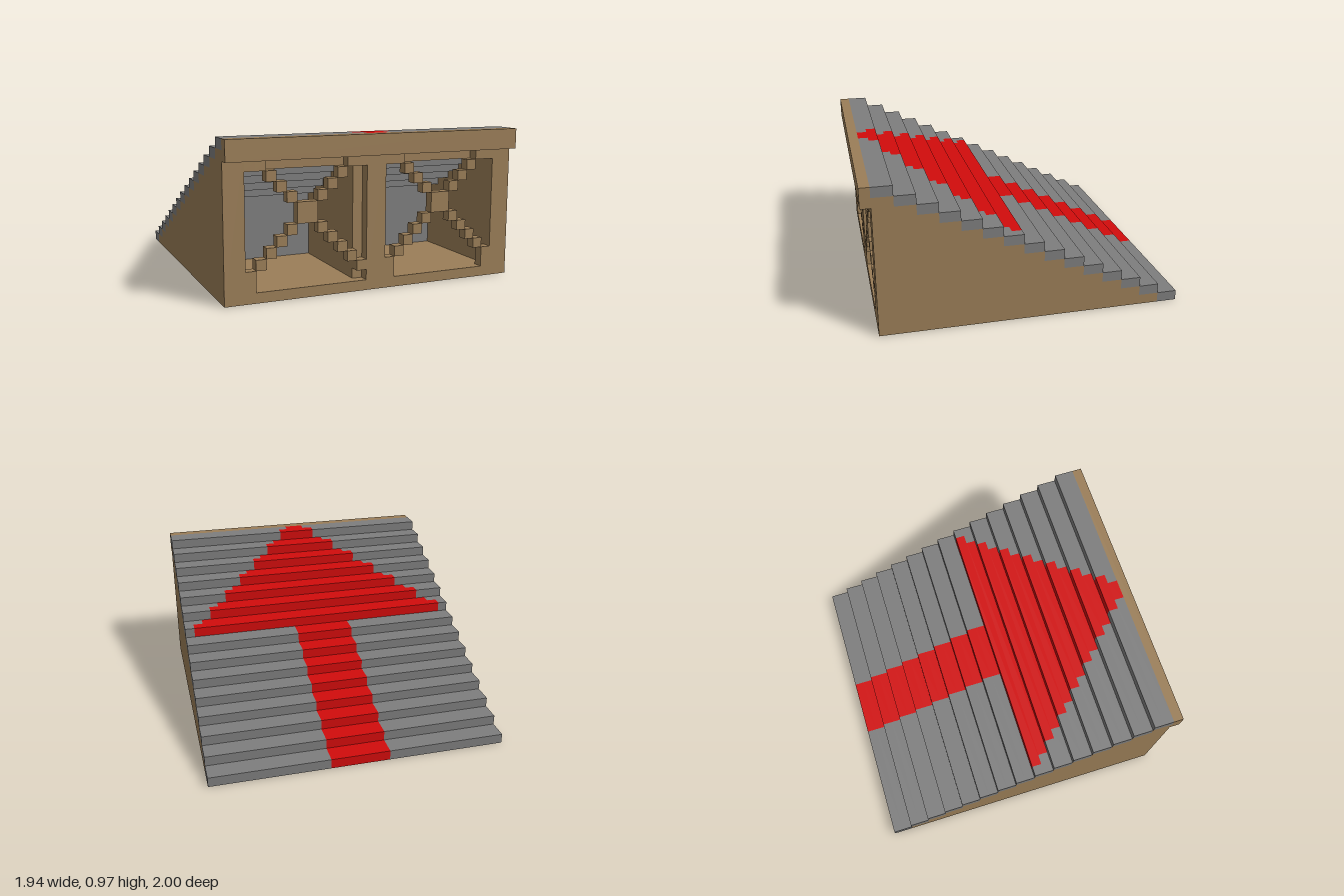
import * as THREE from 'three';
import { mergeGeometries } from 'three/addons/utils/BufferGeometryUtils.js';

const U = 2 / 31; // one block
const STEPS = 15;
const BACK = -15.5;

// box between two block-grid corners
function block(x0, x1, y0, y1, z0, z1) {
  const g = new THREE.BoxGeometry((x1 - x0) * U, (y1 - y0) * U, (z1 - z0) * U);
  g.translate((x0 + x1) * U / 2, (y0 + y1) * U / 2, (z0 + z1) * U / 2);
  return g;
}

// stair-shaped side profile up to step `last`, cut at z = front, extruded from x0 to x1
function stairWall(x0, x1, last, front) {
  const s = new THREE.Shape();
  s.moveTo(BACK + 2, 0);
  for (let i = 1; i <= last; i++) {
    const z0 = BACK + 2 * i;
    s.lineTo(z0 * U, i * U);
    s.lineTo((i === last ? front : z0 + 2) * U, i * U);
  }
  s.lineTo(front * U, 0);
  s.lineTo((BACK + 2) * U, 0);
  s.curves.shift(); // begin at the first tread
  const g = new THREE.ExtrudeGeometry(s, { depth: (x1 - x0) * U, bevelEnabled: false });
  g.rotateY(-Math.PI / 2);
  g.translate(x1 * U, 0, 0);
  return g;
}

export function createModel() {
  const wood = new THREE.MeshStandardMaterial({ color: 0x9b7e58 });
  wood.name = 'wood';
  const stone = new THREE.MeshStandardMaterial({ color: 0x7e7e7e });
  stone.name = 'stone';
  const red = new THREE.MeshStandardMaterial({ color: 0xd20c0c });
  red.name = 'red';

  const model = new THREE.Group();
  model.name = 'steppedRamp';
  const add = (name, parts, material) => {
    const mesh = new THREE.Mesh(mergeGeometries(parts), material);
    mesh.name = name;
    model.add(mesh);
  };

  // side walls, divider and the solid low end
  add('sideWalls', [stairWall(-15, -13, 14, 14.5), stairWall(13, 15, 14, 14.5)], wood);
  add('divider', [stairWall(-2, 1, 14, 13.5)], wood);
  add('lowEnd', [stairWall(-13, 13, 7, 0.5)], wood);
  add('floor', [block(-13, 13, 0, 1, 0.5, 14.5)], wood);

  // front frame
  add('centrePost', [block(-1, 1, 1, 13, 13.5, 14.5)], wood);
  add('lintel', [
    block(-13, 13, 13, 14, 12.5, 14.5),
    block(-13, 13, 12, 13, 12.5, 13.5),
  ], wood);
  add('topBeam', [block(-15, 15, 13, 15, 14.5, 15.5)], wood);

  // crossed braces in the two openings
  for (const c of [-7, 7]) {
    const cells = [block(c - 1, c + 1, 7, 9, 13.5, 14.5)];
    for (const side of [-1, 1]) {
      const cell = (k, y) => {
        const x = side > 0 ? c + k : c - k - 1;
        cells.push(block(x, x + 1, y, y + 1, 13.5, 14.5));
      };
      for (let k = 1; k <= 5; k++) {
        cell(k, Math.min(8 + k, 12));
        cell(k, 7 - k);
      }
      if (c > 0 || side < 0) cell(5, 1);
    }
    add(c < 0 ? 'rightBrace' : 'leftBrace', cells, wood);
  }

  // stone lining under the treads and the back wall of each bay
  const lining = [];
  for (const [x0, x1] of [[-13, -2], [1, 13]]) {
    lining.push(block(x0, x1, 1, 8, 0.5, 2.5));
    for (let i = 9; i <= 13; i++) {
      lining.push(block(x0, x1, i - 1, i, BACK + 2 * i, BACK + 2 * i + 2));
    }
  }
  add('bayLining', lining, stone);

  // treads, two rows each, with the arrow set into them
  const treads = [], arrow = [];
  for (let r = 0; r < STEPS * 2; r++) {
    const y = Math.floor(r / 2), z = BACK + r;
    const half = r < 16 ? 3 : 30 - r;
    arrow.push(block(-half, half, y, y + 1, z, z + 1));
    treads.push(block(-15, -half, y, y + 1, z, z + 1));
    treads.push(block(half, 15, y, y + 1, z, z + 1));
  }
  add('treads', treads, stone);
  add('arrow', arrow, red);

  return model;
}
